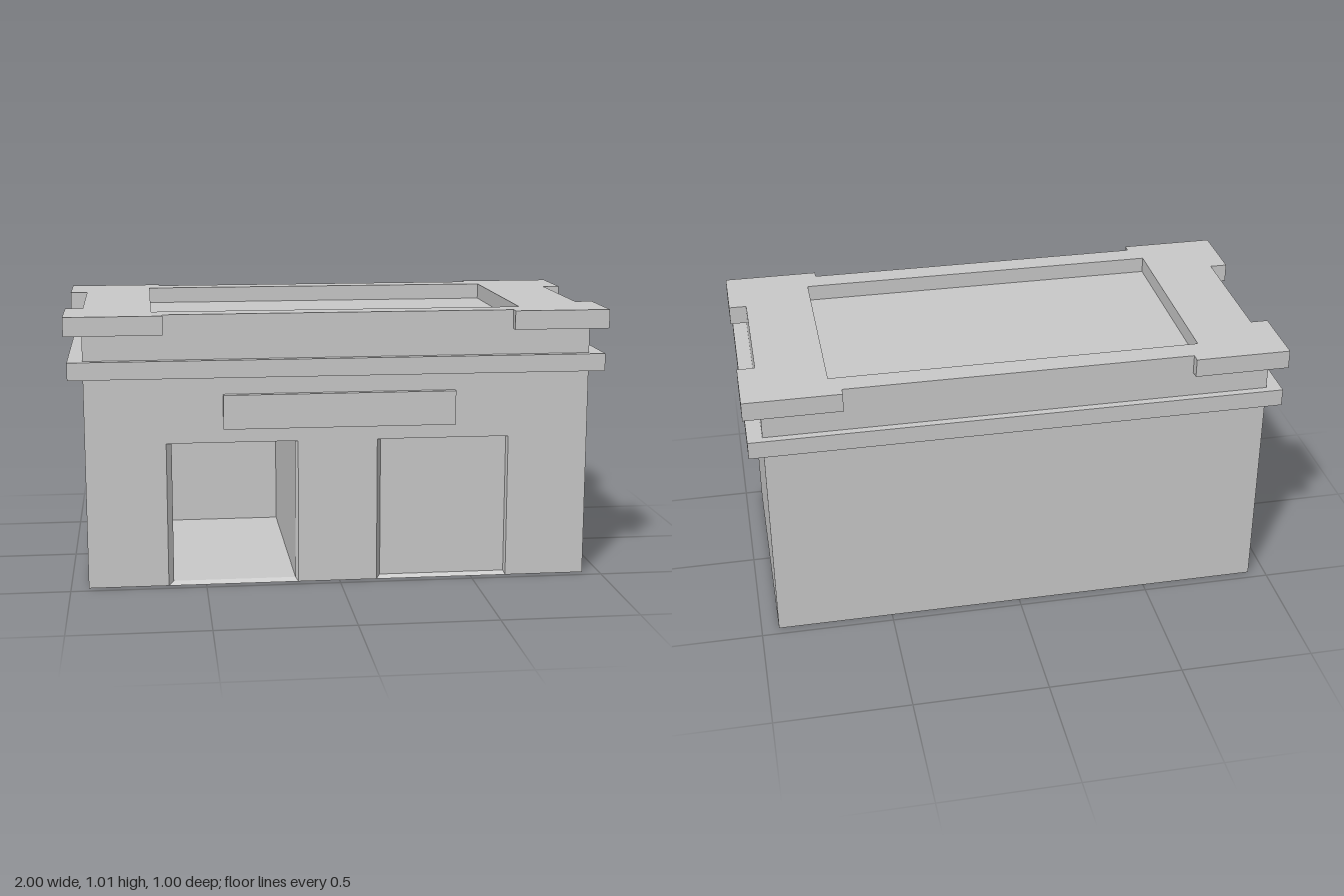
import * as THREE from 'three';

const W = 0.935, D = 0.466;      // half width and half depth of the building
const ROOF = 0.955, TOP = 1.015; // roof deck and parapet top
const DOOR_H = 0.54, REVEAL = 0.02;
// door openings: outer edges at the facade, inner edges behind the splayed reveal
const DOORS = [
  { outer: [-0.64, -0.155], inner: [-0.62, -0.165] },
  { outer: [0.14, 0.635], inner: [0.155, 0.63] },
];
const SILL = 0.012;

export function createModel() {
  const group = new THREE.Group();
  const mat = new THREE.MeshStandardMaterial({ color: 0xcccccc, flatShading: true });
  const thin = mat.clone();
  thin.side = THREE.DoubleSide;

  const add = (name, geo, material = mat) => {
    const mesh = new THREE.Mesh(geo, material);
    mesh.name = name;
    group.add(mesh);
    return mesh;
  };
  const polygon = (pts) => new THREE.Shape(pts.map(([x, y]) => new THREE.Vector2(x, y)));
  const rect = (x0, y0, x1, y1) => polygon([[x0, y0], [x1, y0], [x1, y1], [x0, y1]]);
  const extrude = (shape, depth) => new THREE.ExtrudeGeometry(shape, { depth, bevelEnabled: false });
  const box = (name, x0, x1, y0, y1, z0, z1) =>
    add(name, new THREE.BoxGeometry(x1 - x0, y1 - y0, z1 - z0))
      .position.set((x0 + x1) / 2, (y0 + y1) / 2, (z0 + z1) / 2);

  // Main block with one open garage bay running to the back wall
  const room = rect(-W, 0, W, ROOF);
  room.holes.push(rect(DOORS[0].inner[0], SILL, DOORS[0].inner[1], DOOR_H));
  add('building', extrude(room, 2 * D - REVEAL - 0.026)).position.z = -D + 0.026;
  box('backWall', -W, W, 0, ROOF, -D, -D + 0.026);

  // Facade layer, notched at both doorways; the second bay is closed by the block behind
  const outline = [[-W, 0]];
  for (const { outer: [a, b] } of DOORS) outline.push([a, 0], [a, DOOR_H], [b, DOOR_H], [b, 0]);
  outline.push([W, 0], [W, ROOF], [-W, ROOF]);
  add('facade', extrude(polygon(outline), REVEAL)).position.z = D - REVEAL;

  // Splayed jambs and sloping sill of each doorway
  for (const { outer: [a, b], inner: [c, d] } of DOORS) {
    const front = [[a, DOOR_H], [a, 0], [b, 0], [b, DOOR_H]];
    const back = [[c, DOOR_H], [c, SILL], [d, SILL], [d, DOOR_H]];
    const v = [];
    for (let i = 0; i < 3; i++) {
      const f0 = [...front[i], D], f1 = [...front[i + 1], D];
      const b0 = [...back[i], D - REVEAL], b1 = [...back[i + 1], D - REVEAL];
      v.push(...f0, ...f1, ...b1, ...f0, ...b1, ...b0);
    }
    const geo = new THREE.BufferGeometry();
    geo.setAttribute('position', new THREE.Float32BufferAttribute(v, 3));
    geo.computeVertexNormals();
    add('doorReveal', geo, thin);
  }

  // Parapet around the sunken roof deck
  const rim = rect(-W, -D, W, D);
  rim.holes.push(rect(-0.685, -0.378, 0.685, 0.378));
  const parapet = add('parapet', extrude(rim, TOP - ROOF));
  parapet.rotation.x = -Math.PI / 2;
  parapet.position.y = ROOF;

  // Cornice band wrapped around the walls
  const ring = rect(-0.99, -0.495, 0.99, 0.495);
  ring.holes.push(rect(-W, -D, W, D));
  const cornice = add('cornice', extrude(ring, 0.065));
  cornice.rotation.x = -Math.PI / 2;
  cornice.position.y = 0.785;

  // L-shaped caps wrapping the four parapet corners
  for (const sx of [-1, 1]) for (const sz of [-1, 1]) {
    const pts = [[0.645, 0.5], [1, 0.5], [1, 0.25], [W, 0.25], [W, D], [0.645, D]];
    const cap = add('cornerCap', extrude(polygon(pts.map(([x, z]) => [sx * x, sz * z])), 0.07));
    cap.rotation.x = -Math.PI / 2;
    cap.position.y = TOP - 0.07;
  }

  // Blank sign board above the doors
  box('signBoard', -0.43, 0.43, 0.593, 0.72, D, 0.491);

  return group;
}
